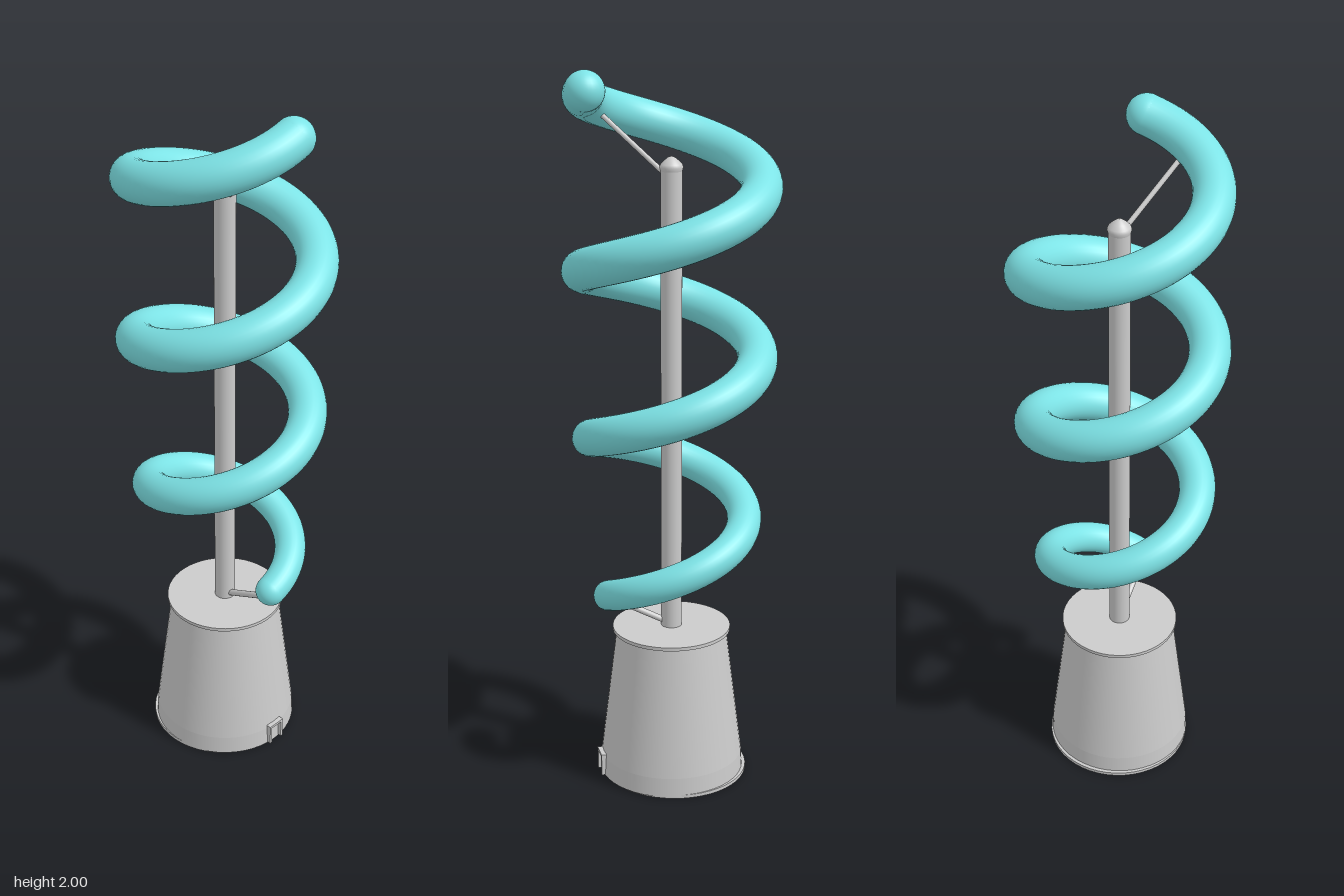
import * as THREE from 'three';

const grey = new THREE.MeshStandardMaterial({ color: 0xcccccc });
const teal = new THREE.MeshStandardMaterial({ color: 0x7de3e6 });

const TURNS = 3, Y0 = 0.55, Y1 = 1.95;

// Radius of the spiral and thickness of its tube along u = 0..1
const spiralRadius = u => 0.18 + 0.172 * u - 0.122 * u * u - 0.002 * Math.sin(Math.PI * u);
const tubeRadius = u => 0.043 + 0.011 * u + 0.007 * Math.sin(Math.PI * u);

class Spiral extends THREE.Curve {
  getPoint(u, target = new THREE.Vector3()) {
    const a = u * TURNS * Math.PI * 2, r = spiralRadius(u);
    return target.set(r * Math.cos(a), Y0 + (Y1 - Y0) * u, -r * Math.sin(a));
  }
}

function add(parent, name, geometry, material, x = 0, y = 0, z = 0) {
  const mesh = new THREE.Mesh(geometry, material);
  mesh.name = name;
  mesh.position.set(x, y, z);
  parent.add(mesh);
  return mesh;
}

// Round bar between two points
function strut(parent, name, from, to, radius) {
  const a = new THREE.Vector3(...from), b = new THREE.Vector3(...to);
  const dir = b.clone().sub(a);
  const bar = add(parent, name, new THREE.CylinderGeometry(radius, radius, dir.length(), 12), grey);
  bar.position.copy(a).lerp(b, 0.5);
  bar.quaternion.setFromUnitVectors(new THREE.Vector3(0, 1, 0), dir.normalize());
}

// Tube along the spiral, its rings rescaled so the thickness varies
function spiralGeometry(curve, segments, sides) {
  const geo = new THREE.TubeGeometry(curve, segments, 1, sides, false);
  const pos = geo.attributes.position;
  const v = new THREE.Vector3();
  for (let i = 0; i <= segments; i++) {
    const centre = curve.getPointAt(i / segments);
    for (let j = 0; j <= sides; j++) {
      const k = i * (sides + 1) + j;
      v.fromBufferAttribute(pos, k).sub(centre).multiplyScalar(tubeRadius(i / segments)).add(centre);
      pos.setXYZ(k, v.x, v.y, v.z);
    }
  }
  return geo;
}

export function createModel() {
  const model = new THREE.Group();
  model.name = 'spiralSculpture';

  // Tapered pedestal with a foot plate and a lid
  const base = new THREE.Group();
  base.name = 'pedestal';
  model.add(base);
  add(base, 'footPlate', new THREE.CylinderGeometry(0.205, 0.205, 0.01, 48), grey, -0.009, 0.005);
  add(base, 'pedestalFoot', new THREE.CylinderGeometry(0.201, 0.204, 0.055, 48), grey, 0, 0.0325);
  add(base, 'pedestalBody', new THREE.CylinderGeometry(0.155, 0.201, 0.375, 48), grey, 0, 0.2475);
  add(base, 'lid', new THREE.CylinderGeometry(0.166, 0.166, 0.01, 48), grey, 0, 0.439);

  // Small door frame at the foot
  for (const s of [-1, 1]) {
    add(base, 'doorPost', new THREE.BoxGeometry(0.025, 0.06, 0.008), grey, 0.2, 0.037, s * 0.023);
  }
  add(base, 'doorLintel', new THREE.BoxGeometry(0.025, 0.008, 0.054), grey, 0.2, 0.066, 0);

  // Central pole with a domed cap
  add(model, 'pole', new THREE.CylinderGeometry(0.029, 0.029, 1.305, 32), grey, 0, 1.0925);
  const cap = [[0.029, 1.735], [0.032, 1.745], [0.029, 1.753], [0.019, 1.763], [0.009, 1.771], [0, 1.774]];
  add(model, 'poleCap', new THREE.LatheGeometry(cap.map(p => new THREE.Vector2(...p)), 32), grey);

  // Spiral with rounded ends
  const curve = new Spiral();
  add(model, 'spiral', spiralGeometry(curve, 260, 28), teal);
  for (const u of [0, 1]) {
    const p = curve.getPoint(u);
    add(model, 'spiralEnd', new THREE.SphereGeometry(tubeRadius(u), 28, 20), teal, p.x, p.y, p.z);
  }

  // Struts tying the spiral to the pole
  strut(model, 'lowerStrut', [0.015, 0.455, 0.002], [0.17, 0.535, 0.018], 0.009);
  strut(model, 'upperStrut', [0.015, 1.725, 0], [0.175, 1.885, 0.115], 0.007);

  return model;
}
